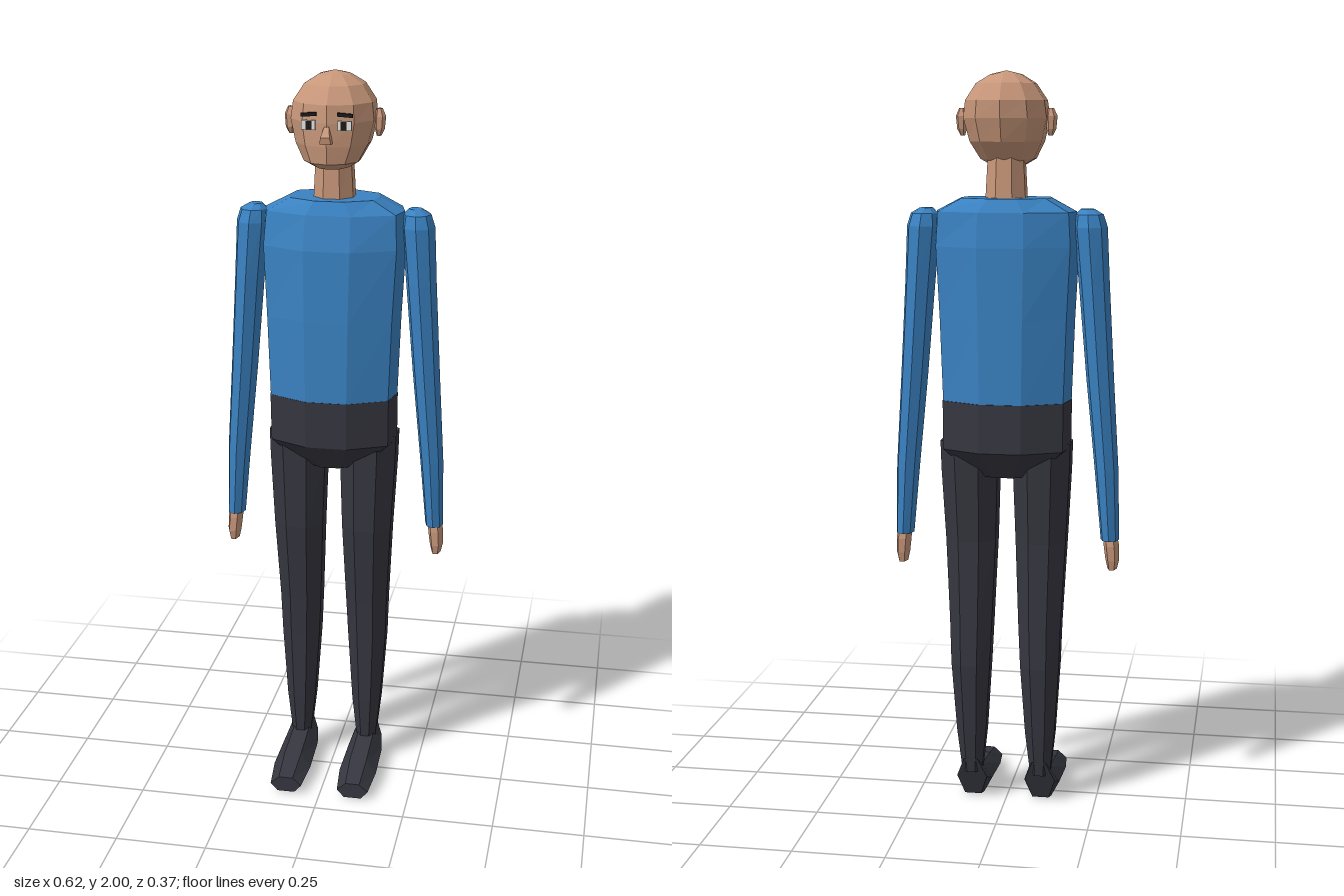
import * as THREE from 'three';

const mat = (name, color) => {
  const m = new THREE.MeshStandardMaterial({ color, side: THREE.FrontSide });
  m.name = name;
  return m;
};

// Faceted skin over a list of closed rings (each a list of [x, y, z]), capped at both ends
function loft(rings) {
  const n = rings[0].length, pos = [], idx = [];
  rings.forEach(r => r.forEach(p => pos.push(...p)));
  for (let k = 0; k < rings.length - 1; k++) {
    for (let i = 0; i < n; i++) {
      const j = (i + 1) % n, a = k * n, b = a + n;
      idx.push(a + i, b + i, a + j, b + i, b + j, a + j);
    }
  }
  const top = (rings.length - 1) * n;
  for (let i = 1; i < n - 1; i++) idx.push(0, i, i + 1, top, top + i + 1, top + i);
  const g = new THREE.BufferGeometry();
  g.setAttribute('position', new THREE.Float32BufferAttribute(pos, 3));
  g.setIndex(idx);
  const flat = g.toNonIndexed();
  flat.computeVertexNormals();
  return flat;
}

// Horizontal ring rows are [y, centreX, centreZ, radiusX, radiusZ]
const column = (rows, sides, turn = 0) => loft(rows.map(([y, cx, cz, rx, rz]) =>
  Array.from({ length: sides }, (_, i) => {
    const a = (i + turn) / sides * Math.PI * 2;
    return [cx + Math.cos(a) * rx, y, cz + Math.sin(a) * rz];
  })));

// Ten-sided body section, flat across chest and back; rows are [y, halfWidth, front, back]
const SECTION = [[1, 0], [0.92, 0.6], [0.32, 1], [-0.32, 1], [-0.92, 0.6],
  [-1, 0], [-0.92, -0.6], [-0.32, -1], [0.32, -1], [0.92, -0.6]];
const body = rows => loft(rows.map(([y, w, front, back]) =>
  SECTION.map(([u, v]) => [u * w, y, (front + back) / 2 + v * (front - back) / 2])));

export function createModel() {
  const model = new THREE.Group();
  const skin = mat('skin', 0xc8977a), blue = mat('blue shirt', 0x3a82c2);
  const dark = mat('dark trousers', 0x363640), white = mat('eye white', 0xe8e8e4);
  const black = mat('dark hair and pupils', 0x1e1a1a);
  const add = (name, geometry, material, x = 0, y = 0, z = 0, parent = model) => {
    const m = new THREE.Mesh(geometry, material);
    m.name = name;
    m.position.set(x, y, z);
    parent.add(m);
    return m;
  };

  // Torso and hips
  add('shirt', body([
    [1.14, 0.175, 0.077, -0.175], [1.36, 0.183, 0.077, -0.176], [1.55, 0.193, 0.07, -0.176],
    [1.64, 0.187, 0.048, -0.165], [1.675, 0.12, 0.03, -0.145]]), blue);
  add('hips', body([
    [0.935, 0.08, 0.02, -0.13], [0.965, 0.125, 0.042, -0.15],
    [1.01, 0.175, 0.074, -0.183], [1.14, 0.176, 0.078, -0.178]]), dark);

  // Neck and head
  add('neck', column([[1.66, 0, -0.057, 0.058, 0.058], [1.8, 0, -0.055, 0.05, 0.052]], 8, 0.5), skin);
  add('head', column([
    [1.758, 0, -0.025, 0.045, 0.055], [1.775, 0, -0.024, 0.075, 0.083],
    [1.82, 0, -0.043, 0.1, 0.107], [1.88, 0, -0.053, 0.115, 0.116],
    [1.925, 0, -0.057, 0.109, 0.114], [1.968, 0, -0.06, 0.08, 0.086],
    [1.991, 0, -0.06, 0.042, 0.046], [2, 0, -0.06, 0.004, 0.004]], 10, 0.5), skin);
  add('nose', loft([
    [[0.016, 1.83, 0.04], [0.015, 1.83, 0.08], [-0.015, 1.83, 0.08], [-0.016, 1.83, 0.04]],
    [[0.013, 1.848, 0.04], [0.012, 1.848, 0.083], [-0.012, 1.848, 0.083], [-0.013, 1.848, 0.04]],
    [[0.007, 1.872, 0.04], [0.006, 1.872, 0.062], [-0.006, 1.872, 0.062], [-0.007, 1.872, 0.04]]]), skin);

  for (const s of [1, -1]) {
    const side = s > 0 ? 'left' : 'right';

    // Face details
    add(side + 'Ear', column([
      [1.835, s * 0.116, -0.058, 0.006, 0.006], [1.852, s * 0.118, -0.058, 0.013, 0.014],
      [1.885, s * 0.119, -0.06, 0.015, 0.017], [1.905, s * 0.117, -0.06, 0.008, 0.009]], 6), skin);
    add(side + 'Eye', new THREE.BoxGeometry(0.036, 0.024, 0.009), white, s * 0.047, 1.876, 0.061);
    add(side + 'Pupil', new THREE.BoxGeometry(0.015, 0.021, 0.006), black, s * 0.045, 1.876, 0.065);
    add(side + 'Brow', new THREE.BoxGeometry(0.04, 0.009, 0.009), black, s * 0.047, 1.902, 0.057)
      .rotation.z = -s * 0.06;

    // Sleeve and hand
    add(side + 'Sleeve', column([
      [0.76, s * 0.283, -0.058, 0.025, 0.035], [0.95, s * 0.272, -0.058, 0.032, 0.042],
      [1.2, s * 0.252, -0.058, 0.037, 0.048], [1.45, s * 0.234, -0.058, 0.041, 0.053],
      [1.6, s * 0.223, -0.06, 0.045, 0.054], [1.633, s * 0.22, -0.06, 0.037, 0.042],
      [1.647, s * 0.215, -0.06, 0.018, 0.02]], 8), blue);
    add(side + 'Hand', column([
      [0.678, s * 0.29, -0.056, 0.013, 0.026], [0.705, s * 0.29, -0.056, 0.019, 0.033],
      [0.745, s * 0.287, -0.058, 0.021, 0.034], [0.775, s * 0.283, -0.058, 0.019, 0.028]], 6), skin);

    // Trouser leg
    add(side + 'Leg', column([
      [0.08, s * 0.096, -0.06, 0.03, 0.037], [0.2, s * 0.096, -0.064, 0.044, 0.05],
      [0.4, s * 0.096, -0.07, 0.058, 0.062], [0.52, s * 0.095, -0.065, 0.063, 0.065],
      [0.75, s * 0.096, -0.05, 0.074, 0.074], [0.95, s * 0.098, -0.055, 0.083, 0.082],
      [1.025, s * 0.1, -0.055, 0.083, 0.085]], 8, 0.5), dark);

    // Shoe: six-sided rows of [halfWidth, bottomY, bottomZ, topY, topZ] from heel to toe
    const hex = [[0.45, 1], [1, 0.5], [0.55, 0], [-0.55, 0], [-1, 0.5], [-0.45, 1]];
    add(side + 'Shoe', loft([
      [0.042, 0.004, -0.06, 0.122, -0.1], [0.05, 0, -0.035, 0.085, -0.03],
      [0.053, 0, 0.1, 0.07, 0.085], [0.044, 0.004, 0.185, 0.048, 0.185],
    ].map(([w, y0, z0, y1, z1]) => hex.map(([u, t]) =>
      [s * 0.096 + u * w, y0 + (y1 - y0) * t, z0 + (z1 - z0) * t]))), dark);
  }
  return model;
}
